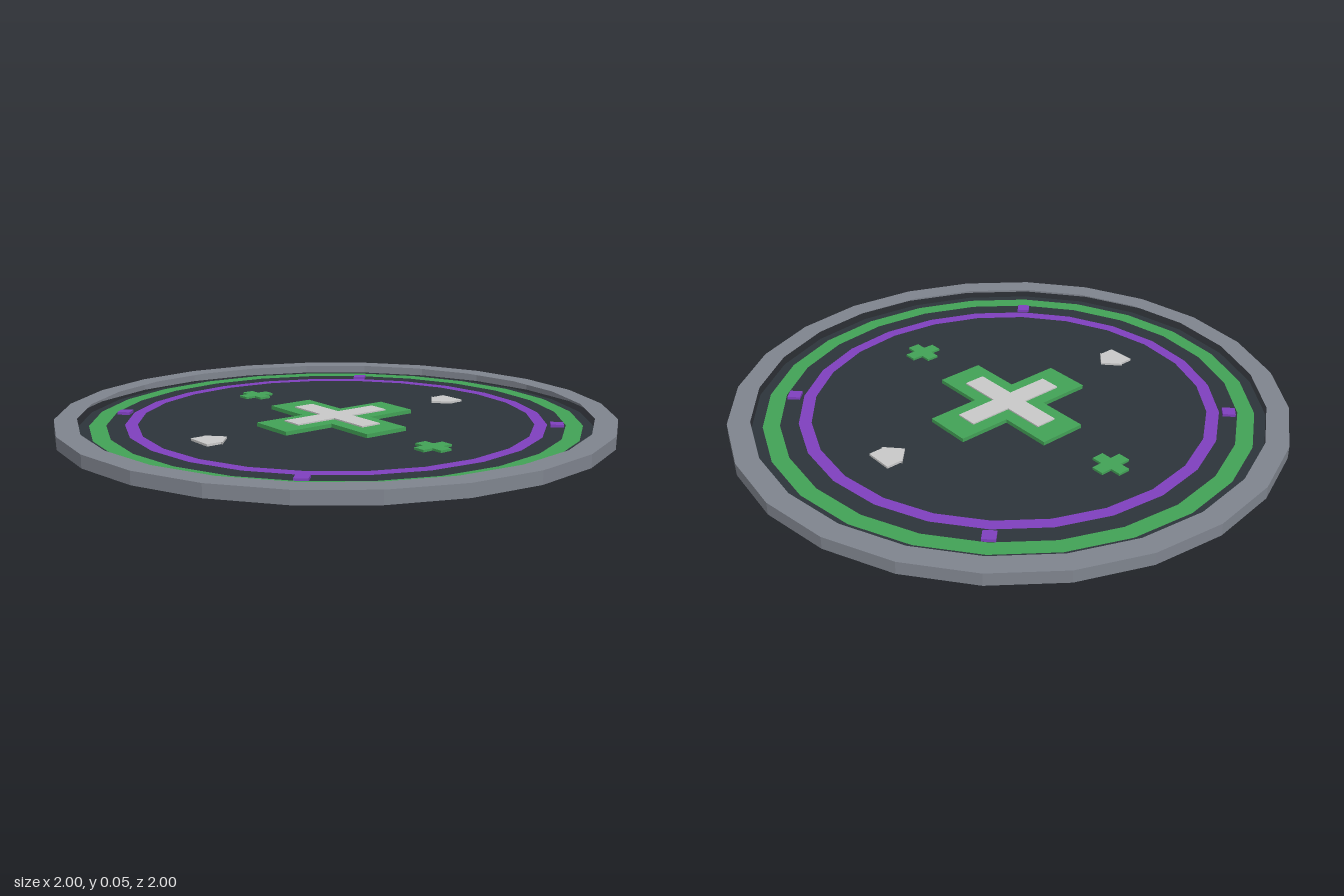
import * as THREE from 'three';

const SIDES = 24;
const DISC_Y = 0.014;

export function createModel() {
  const root = new THREE.Group();
  root.name = 'landingPad';

  const mat = (name, color, side = THREE.FrontSide) => {
    const m = new THREE.MeshStandardMaterial({ color, side, flatShading: true });
    m.name = name;
    return m;
  };
  const rimGrey = mat('rimGrey', 0x80858f, THREE.DoubleSide);
  const darkSlate = mat('darkSlate', 0x2d353b, THREE.DoubleSide);
  const green = mat('green', 0x43a357);
  const purple = mat('purple', 0x8040bf);
  const paleGrey = mat('paleGrey', 0xcacaca);

  const add = (name, geometry, material, x = 0, y = 0, z = 0, turn = 0) => {
    const mesh = new THREE.Mesh(geometry, material);
    mesh.name = name;
    mesh.position.set(x, y, z);
    mesh.rotation.y = turn;
    root.add(mesh);
    return mesh;
  };

  // Flat shape laid on the ground and raised by a given height
  const plate = (shape, height) =>
    new THREE.ExtrudeGeometry(shape, { depth: height, bevelEnabled: false }).rotateX(-Math.PI / 2);
  const flatRing = (inner, outer) =>
    new THREE.RingGeometry(inner, outer, SIDES, 1).rotateX(-Math.PI / 2);

  // Plus-shaped outline: l is half the length, w half the arm width
  const plus = (l, w) => new THREE.Shape([
    [w, -l], [w, -w], [l, -w], [l, w], [w, w], [w, l],
    [-w, l], [-w, w], [-l, w], [-l, -w], [-w, -w], [-w, -l],
  ].map(([x, y]) => new THREE.Vector2(x, y)));

  // Open outer wall, top rim and sunken floor
  add('outerWall', new THREE.CylinderGeometry(1, 1, 0.045, SIDES, 1, true), rimGrey, 0, 0.0225);
  add('topRim', flatRing(0.92, 1), rimGrey, 0, 0.045);
  add('floor', new THREE.CircleGeometry(0.92, SIDES).rotateX(-Math.PI / 2), darkSlate, 0, DISC_Y);

  // Painted bands
  add('greenBand', flatRing(0.82, 0.88), green, 0, DISC_Y + 0.004);
  add('purpleBand', flatRing(0.71, 0.755), purple, 0, DISC_Y + 0.004);

  // Central cross with its pale inlay
  add('centreCross', plate(plus(0.285, 0.088), 0.014), green, 0, DISC_Y);
  add('crossInlay', plate(plus(0.2, 0.04), 0.005), paleGrey, 0, DISC_Y + 0.014);

  // Small crosses at front and back, arrows at the sides pointing inward
  const arrow = new THREE.Shape([
    [-0.055, -0.052], [0, -0.052], [0, -0.06], [0.055, 0],
    [0, 0.06], [0, 0.052], [-0.055, 0.052],
  ].map(([x, y]) => new THREE.Vector2(x, y)));
  for (const s of [-1, 1]) {
    add('smallCross', plate(plus(0.063, 0.023), 0.008), green, 0, DISC_Y, s * 0.52);
    add('arrow', plate(arrow, 0.008), paleGrey, s * 0.522, DISC_Y, 0, s > 0 ? Math.PI : 0);
  }

  // Diagonal marker blocks
  for (const sx of [-1, 1]) for (const sz of [-1, 1]) {
    add('marker', new THREE.BoxGeometry(0.046, 0.01, 0.046), purple,
      sx * 0.558, DISC_Y + 0.005, sz * 0.558, Math.PI / 4);
  }
  return root;
}
